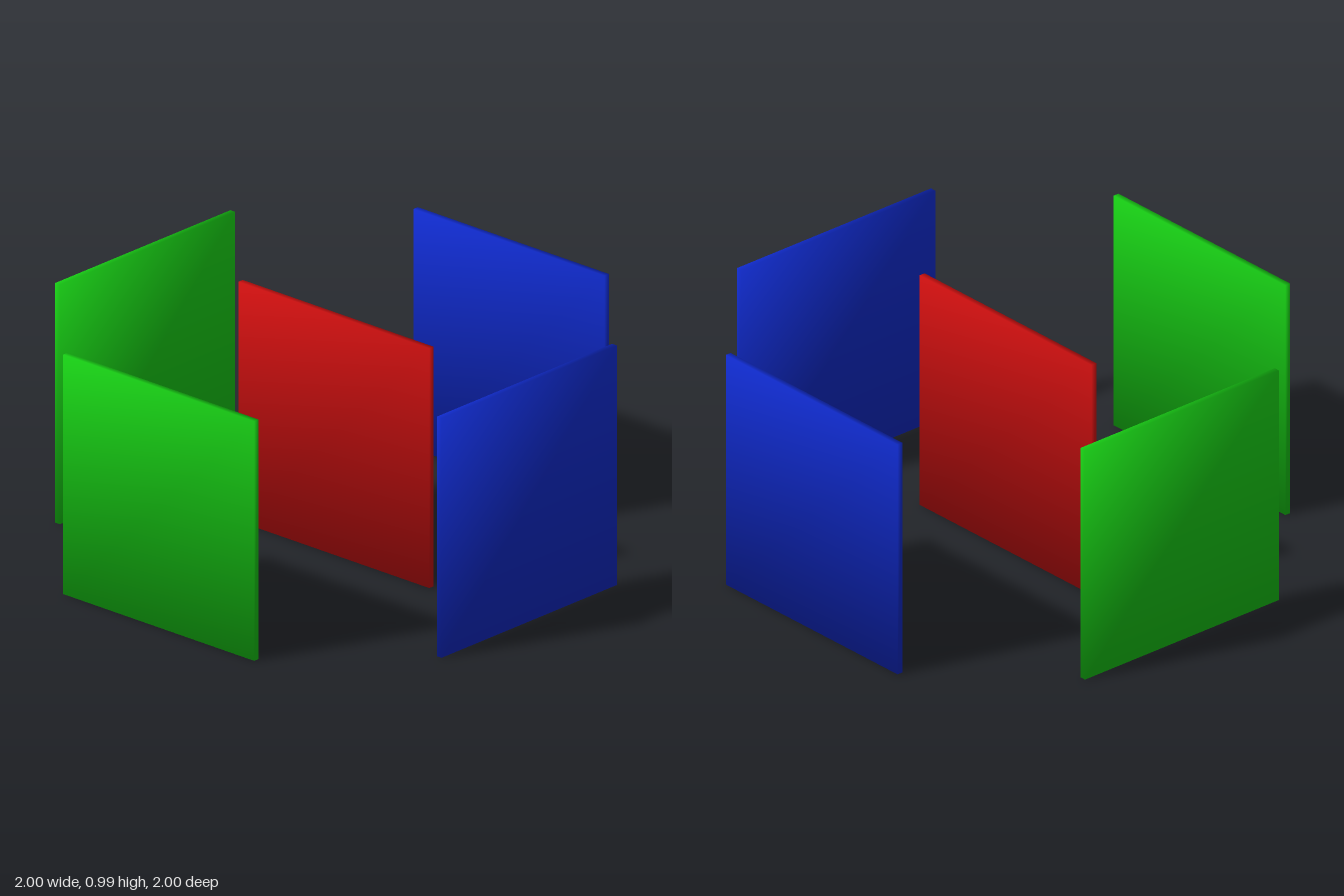
import * as THREE from 'three';
import { mergeVertices } from 'three/addons/utils/BufferGeometryUtils.js';

const SIZE = 0.988;       // panel edge length
const THICK = 0.0247;     // panel thickness
const OFFSET = 0.9877;    // distance of outer panels from the centre

// Thin square panel with welded corners whose normals point diagonally outwards
function panelGeometry() {
  const box = new THREE.BoxGeometry(SIZE, SIZE, THICK);
  box.deleteAttribute('normal');
  box.deleteAttribute('uv');
  const geometry = mergeVertices(box);
  const p = geometry.attributes.position;
  const normals = [];
  for (let i = 0; i < p.count; i++) {
    const n = new THREE.Vector3(Math.sign(p.getX(i)), Math.sign(p.getY(i)), Math.sign(p.getZ(i)));
    normals.push(...n.normalize().toArray());
  }
  geometry.setAttribute('normal', new THREE.Float32BufferAttribute(normals, 3));
  return geometry;
}

export function createModel() {
  const group = new THREE.Group();
  const geometry = panelGeometry();
  const red = new THREE.MeshStandardMaterial({ color: 0xcc0f0f });
  const green = new THREE.MeshStandardMaterial({ color: 0x17cc14 });
  const blue = new THREE.MeshStandardMaterial({ color: 0x0f2acc });

  // name, material, x, z, turn about y
  const panels = [
    ['centrePanel', red, 0, 0, 0],
    ['frontPanel', green, 0, OFFSET, 0],
    ['backPanel', blue, 0, -OFFSET, 0],
    ['rightPanel', green, -OFFSET, 0, Math.PI / 2],
    ['leftPanel', blue, OFFSET, 0, Math.PI / 2],
  ];
  for (const [name, material, x, z, turn] of panels) {
    const panel = new THREE.Mesh(geometry, material);
    panel.name = name;
    panel.position.set(x, SIZE / 2, z);
    panel.rotation.y = turn;
    group.add(panel);
  }
  return group;
}
